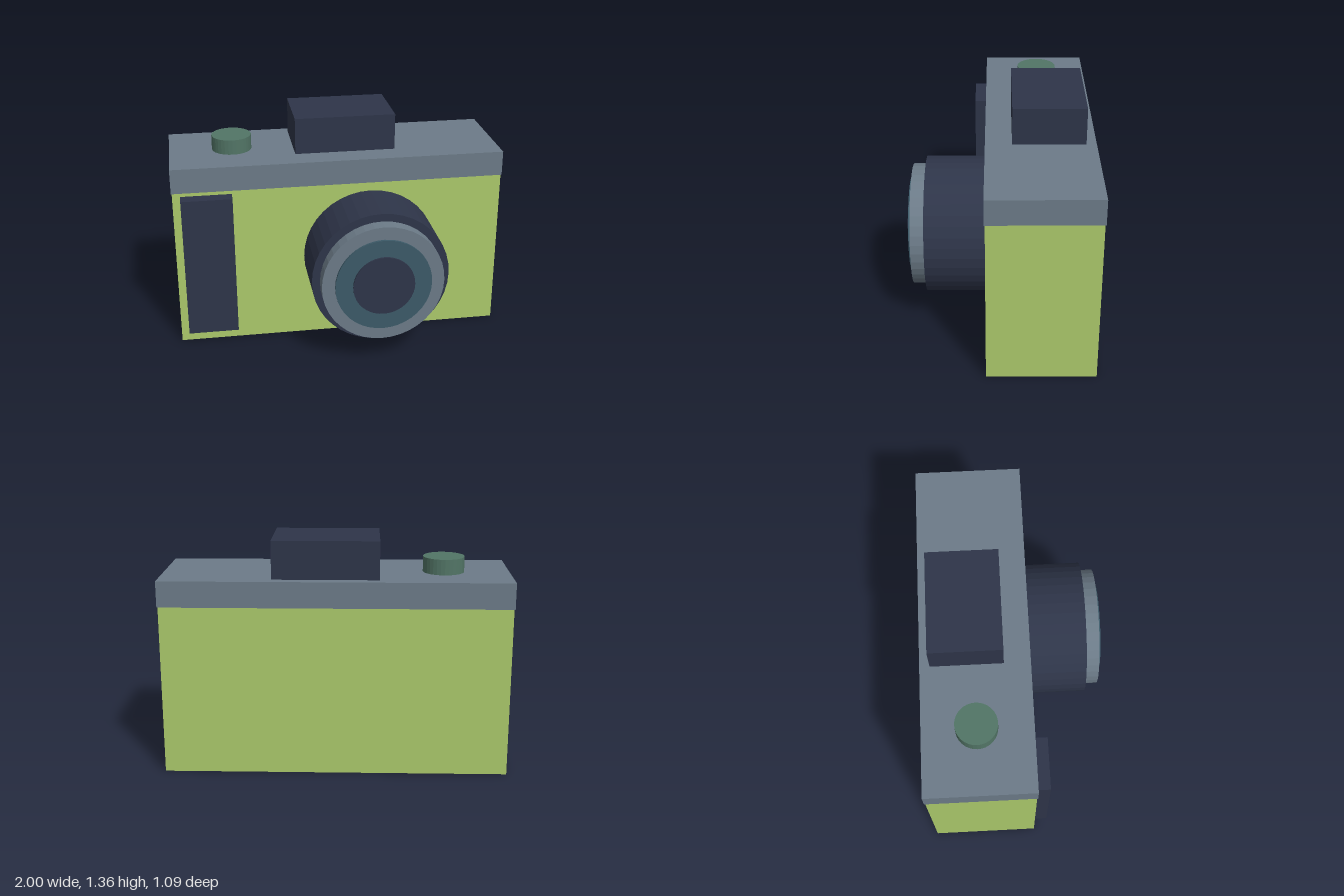
import * as THREE from 'three';

const paint = (name, color, flatShading = false) => {
  const m = new THREE.MeshStandardMaterial({ color, flatShading });
  m.name = name;
  return m;
};

export function createModel() {
  const group = new THREE.Group();
  const green = paint('lime green', 0xabc96b);
  const grey = paint('slate grey', 0x6c7b88);
  const navy = paint('dark navy', 0x2e3549);
  const teal = paint('lens teal', 0x3c5a68);
  const sage = paint('button green', 0x527566);
  for (const m of [green, grey, navy, teal, sage]) m.flatShading = true;

  const add = (name, geometry, material) => {
    const mesh = new THREE.Mesh(geometry, material);
    mesh.name = name;
    group.add(mesh);
    return mesh;
  };

  // Box given by its lower and upper corners
  const box = (name, material, [x0, y0, z0], [x1, y1, z1]) =>
    add(name, new THREE.BoxGeometry(x1 - x0, y1 - y0, z1 - z0), material)
      .position.set((x0 + x1) / 2, (y0 + y1) / 2, (z0 + z1) / 2);

  // Body, top plate, viewfinder housing and front grip
  box('body', green, [-0.995, 0, -0.541], [0.995, 0.99, 0.082]);
  box('topPlate', grey, [-1, 0.99, -0.546], [1, 1.14, 0.087]);
  box('viewfinder', navy, [-0.248, 1.14, -0.487], [0.36, 1.36, -0.067]);
  box('grip', navy, [-0.948, 0.09, 0.08], [-0.646, 0.968, 0.162]);

  // Shutter button
  add('shutterButton', new THREE.CylinderGeometry(0.12, 0.12, 0.09, 32), sage)
    .position.set(-0.62, 1.185, -0.235);

  // Lens: stepped coaxial cylinders, each starting inside the one behind
  const lens = [
    ['lensBarrel', navy, 0.409, 0.07, 0.438],
    ['lensRing', grey, 0.362, 0.42, 0.52],
    ['lensGlass', teal, 0.285, 0.5, 0.535],
    ['lensPupil', navy, 0.182, 0.515, 0.546],
  ];
  for (const [name, material, r, z0, z1] of lens) {
    const geometry = new THREE.CylinderGeometry(r, r, z1 - z0, 40).rotateX(Math.PI / 2);
    add(name, geometry, material).position.set(0.187, 0.528, (z0 + z1) / 2);
  }

  return group;
}
